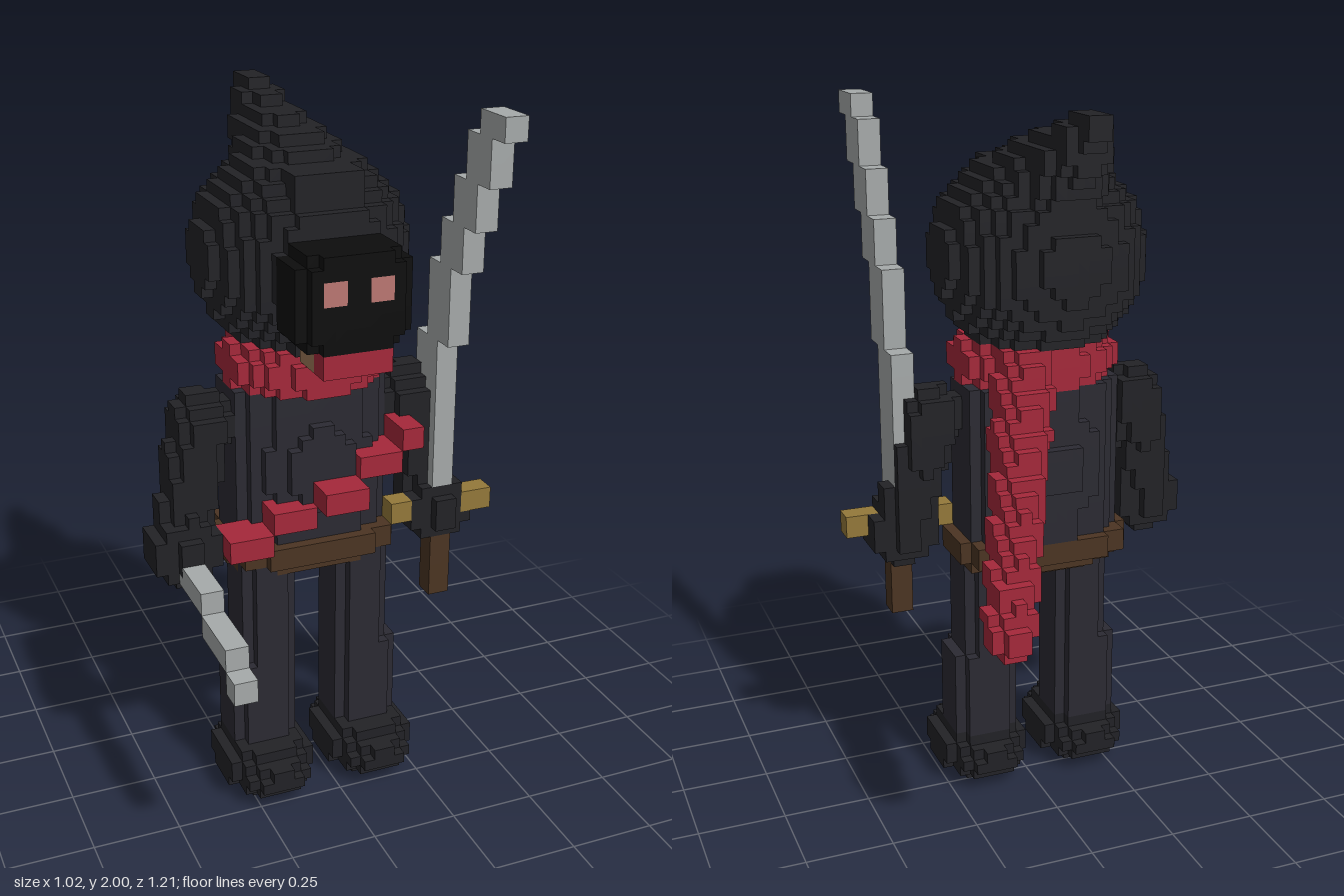
import * as THREE from 'three';

const U = 2 / 63; // voxel size; all shapes below are in voxel units
const MID = -1; // the body is symmetric about x = MID
const { abs, floor, hypot } = Math;

const CLOTH = 0x2b2a32, DARK = 0x222226, RED = 0xa5283a, STEEL = 0xa6aaaa;
const BROWN = 0x4b3422, GOLD = 0x94793a;

// Shape tests: each returns a predicate on a voxel centre
const box = (cx, cy, cz, w, h, d) => (x, y, z) =>
  abs(x - cx) < w / 2 && abs(y - cy) < h / 2 && abs(z - cz) < d / 2;

const ellipsoid = (cx, cy, cz, rx, ry, rz) => (x, y, z) =>
  hypot((x - cx) / rx, (y - cy) / ry, (z - cz) / rz) <= 1;

const column = (cx, cz, rx, rz, y0, y1, p = 2.6) => (x, y, z) =>
  y > y0 && y < y1 && abs((x - cx) / rx) ** p + abs((z - cz) / rz) ** p <= 1;

// Tapered round limb from point a (radius ra) to point b (radius rb)
const limb = (a, ra, b, rb) => {
  const A = new THREE.Vector3(...a), D = new THREE.Vector3(...b).sub(A), P = new THREE.Vector3();
  return (x, y, z) => {
    P.set(x, y, z).sub(A);
    const t = THREE.MathUtils.clamp(P.dot(D) / D.lengthSq(), 0, 1);
    return P.addScaledVector(D, -t).length() <= ra + (rb - ra) * t;
  };
};

const any = (...shapes) => (x, y, z) => shapes.some((s) => s(x, y, z));
const mirror = (shape) => (x, y, z) => shape(2 * MID - x, y, z);

// Padded ring around the neck, slightly flattened front to back
const scarf = (x, y, z) => hypot(hypot(x - MID, (z - 1) * 1.17) - 5, y - 41) < 2.2;

// Diagonal band climbing two voxels every four, the middle step standing out
const sash = (x, y, z) => {
  const step = floor((x + 10) / 4);
  return x > -10 && x < 8 && floor((y - 25) / 2) === step && z > 3 && z < (step === 2 ? 9 : 7);
};

// Raised blade that bends forward faster towards the tip
const longBlade = (x, y, z) => {
  const z0 = 1 + 2 * floor(5.6 * ((y - 27) / 36) ** 2);
  return abs(x - 11) < 1 && y > 28 && z > z0 && z < z0 + 4;
};

// Lowered blade that drops two voxels every six
const shortBlade = (x, y, z) =>
  abs(x + 13) < 1 && z > 5 && floor((y - 23) / 2) === -floor((z - 5) / 6);

// Voxel grid, half sizes in x and z
const NX = 16, NY = 63, NZ = 19;
const key = (x, y, z) => `${x},${y},${z}`;

const eachVoxel = (fn) => {
  for (let x = -NX; x < NX; x++)
    for (let y = 0; y < NY; y++)
      for (let z = -NZ; z < NZ; z++) fn(x, y, z);
};

// One square for every voxel side of this part that touches air
function skin(owner, part) {
  const pos = [], nor = [], idx = [];
  eachVoxel((x, y, z) => {
    if (owner.get(key(x, y, z)) !== part) return;
    for (let axis = 0; axis < 3; axis++) {
      for (const s of [-1, 1]) {
        const n = [0, 0, 0];
        n[axis] = s;
        if (owner.has(key(x + n[0], y + n[1], z + n[2]))) continue;
        const b = pos.length / 3;
        for (let k = 0; k < 4; k++) {
          const c = [x, y, z];
          if (s > 0) c[axis]++;
          if (k === 1 || k === 2) c[(axis + 1) % 3]++;
          if (k > 1) c[(axis + 2) % 3]++;
          pos.push(...c.map((v) => v * U));
          nor.push(...n);
        }
        if (s > 0) idx.push(b, b + 1, b + 2, b, b + 2, b + 3);
        else idx.push(b, b + 2, b + 1, b, b + 3, b + 2);
      }
    }
  });
  const geometry = new THREE.BufferGeometry();
  geometry.setAttribute('position', new THREE.Float32BufferAttribute(pos, 3));
  geometry.setAttribute('normal', new THREE.Float32BufferAttribute(nor, 3));
  geometry.setIndex(idx);
  return geometry;
}

export function createModel() {
  const group = new THREE.Group();
  const owner = new Map();

  // Later parts take over voxels of earlier ones
  const add = (name, color, shape) => {
    const mesh = new THREE.Mesh(undefined, new THREE.MeshStandardMaterial({ color }));
    mesh.name = name;
    group.add(mesh);
    eachVoxel((x, y, z) => {
      if (shape(x + 0.5, y + 0.5, z + 0.5)) owner.set(key(x, y, z), mesh);
    });
  };
  const addPair = (name, color, shape) => {
    add('right' + name, color, shape);
    add('left' + name, color, mirror(shape));
  };

  // Body and legs
  add('torso', CLOTH, any(
    column(MID, 0.2, 7.1, 4.8, 25, 39),
    ellipsoid(MID, 32, 0.2, 6.8, 7.8, 6),
    box(MID, 41, 1, 6, 6, 8),
  ));
  addPair('Leg', CLOTH, any(column(-6, 2, 3.1, 3.1, 3, 13, 2.2), column(-5.5, 2, 2.6, 3.1, 13, 24)));
  addPair('Foot', DARK, ellipsoid(-6, 2.7, 3, 4.1, 2.7, 6.1));

  // Head with a hood whose point sweeps back
  add('hood', DARK, any(
    ellipsoid(MID, 50.3, 0, 9, 8.9, 9),
    box(MID, 50.5, 1, 6, 15, 12),
    limb([MID, 55.5, -2], 5, [MID, 61.7, -11.8], 1.3),
    box(MID, 62, -11, 2, 2, 4),
  ));
  add('face', 0x0d0d0d, any(
    box(MID, 49, 10, 10, 6, 4),
    box(MID, 49, 10, 8, 8, 4),
    box(MID, 49, 10.5, 8, 6, 5),
    box(MID, 49, 10.5, 6, 8, 5),
  ));
  addPair('Eye', 0xbb7772, box(-3, 50, 12.5, 2, 2, 1));
  add('chin', 0xa07a58, box(MID, 44, 9.5, 6, 2, 3));
  add('chinStrap', RED, box(MID, 44, 12, 6, 2, 2));

  // Scarf, belt and sash
  add('scarf', RED, scarf);
  add('scarfGap', DARK, box(MID, 42, 6, 2, 2, 2));
  add('scarfTail', RED, limb([1.8, 41, -4], 2.5, [8.3, 23, -17.2], 1.8));
  add('belt', BROWN, any(
    column(MID, 0.5, 8.1, 5.6, 23, 25),
    column(MID, 0.5, 7, 4.5, 22, 23),
    column(MID, 0.5, 5, 3, 21, 22),
  ));
  add('sash', RED, sash);

  // Arms and the blades they hold
  add('shortBlade', STEEL, shortBlade);
  addPair('Arm', DARK, any(
    limb([-10.6, 36.2, 1.2], 2.6, [-12.6, 28, 2.3], 2.3),
    ellipsoid(-13, 25.5, 3, 3.3, 3.1, 2.7),
  ));
  add('longBlade', STEEL, longBlade);
  add('swordGuard', GOLD, any(box(7, 26, 4, 2, 2, 2), box(14.5, 26, 4, 3, 2, 2)));
  add('swordGrip', BROWN, box(11, 20, 4, 2, 6, 2));

  for (const mesh of group.children) mesh.geometry = skin(owner, mesh);
  return group;
}
